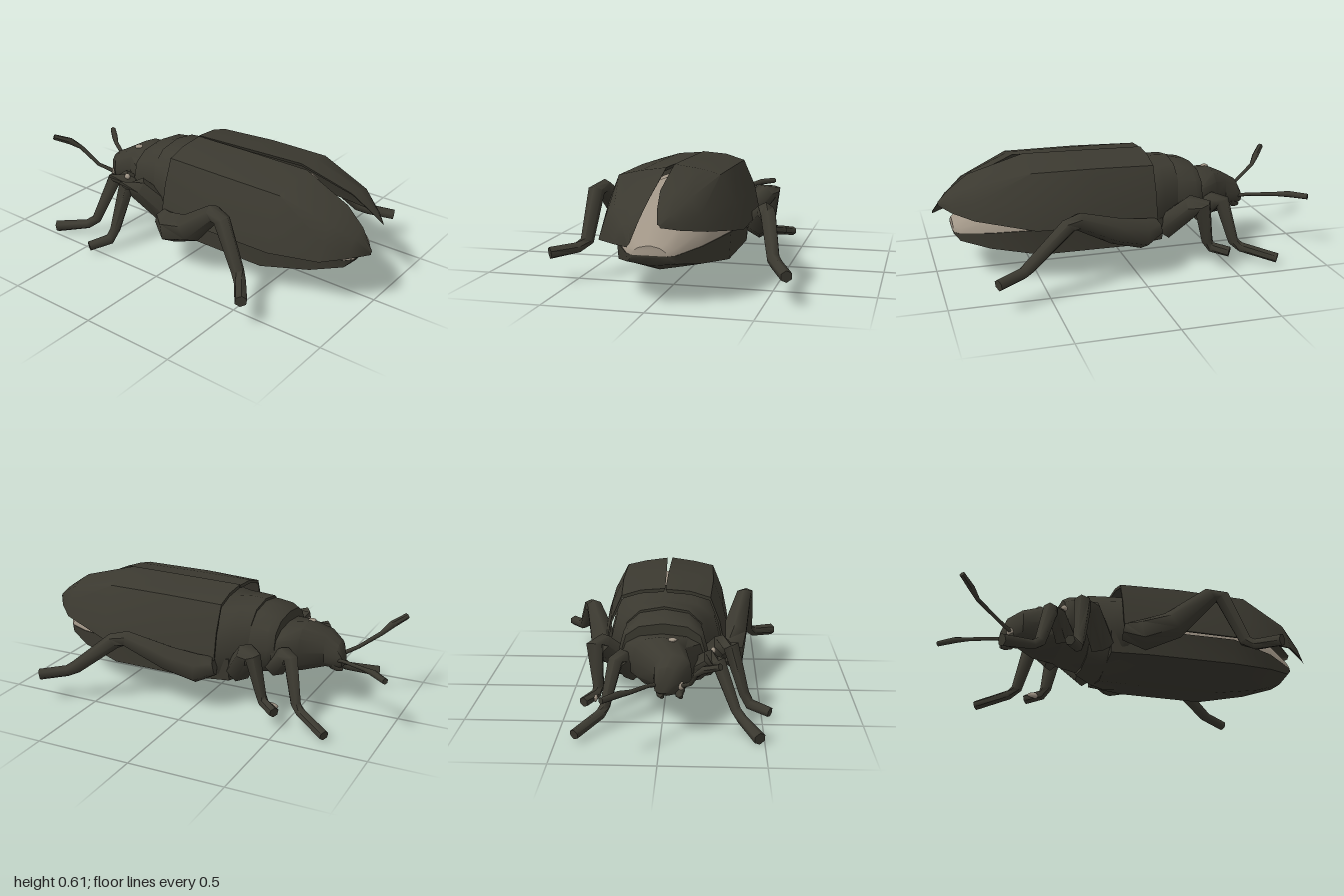
import * as THREE from 'three';
import { toCreasedNormals } from 'three/addons/utils/BufferGeometryUtils.js';

const V = (x, y, z) => new THREE.Vector3(x, y, z);

// Closed skin through equal-sized rings of points, capped with strips, faces outward
function loft(rings, crease = 0.75) {
  const n = rings[0].length, last = (rings.length - 1) * n, idx = [];
  const pts = rings.flat();
  for (let r = 0; r < rings.length - 1; r++) {
    for (let i = 0; i < n; i++) {
      const a = r * n + i, b = r * n + (i + 1) % n;
      idx.push(a, b, b + n, a, b + n, a + n);
    }
  }
  for (let i = 0; i < n / 2 - 1; i++) {
    const a = i, b = i + 1, c = n - 2 - i, d = n - 1 - i;
    idx.push(a, c, b, a, d, c);
    idx.push(last + a, last + b, last + c, last + a, last + c, last + d);
  }
  let volume = 0;
  for (let i = 0; i < idx.length; i += 3) {
    volume += pts[idx[i]].dot(pts[idx[i + 1]].clone().cross(pts[idx[i + 2]]));
  }
  if (volume < 0) idx.reverse();
  const g = new THREE.BufferGeometry().setFromPoints(pts);
  g.setIndex(idx);
  return toCreasedNormals(g, crease);
}

// Rounded body section across x
function section([x, zc, w, bottom, top], n = 12) {
  const ring = [], sq = v => Math.sign(v) * Math.abs(v) ** 0.8;
  for (let i = 0; i < n; i++) {
    const a = (i / n) * Math.PI * 2;
    ring.push(V(x, (bottom + top) / 2 + sq(Math.sin(a)) * (top - bottom) / 2, zc + sq(Math.cos(a)) * w));
  }
  return ring;
}

// Jointed limb: each joint is [x, y, z, radius]
function limb(joints, n = 6) {
  const p = joints.map(j => V(j[0], j[1], j[2]));
  return loft(p.map((c, k) => {
    const dir = p[Math.min(k + 1, p.length - 1)].clone().sub(p[Math.max(k - 1, 0)]).normalize();
    const u = V(0, 0, 1).cross(dir).normalize(), v = dir.clone().cross(u);
    return Array.from({ length: n }, (_, i) => {
      const a = (i / n) * Math.PI * 2;
      return c.clone().addScaledVector(u, Math.cos(a) * joints[k][3]).addScaledVector(v, Math.sin(a) * joints[k][3]);
    });
  }), 1.1);
}

// Wing case shell: stations are [x, [z, y] ...] from the inner seam to the outer rim
function wingCase(stations, side) {
  return loft(stations.map(([x, ...outer]) => {
    const cz = outer.reduce((s, p) => s + p[0], 0) / outer.length * 0.8;
    const cy = outer[outer.length - 1][1];
    const inner = outer.map(([z, y]) => [cz + (z - cz) * 0.94, cy + (y - cy) * 0.94]).reverse();
    return [...outer, ...inner].map(([z, y]) => V(x, y, z * side));
  }));
}

export function createModel() {
  const group = new THREE.Group();
  const shell = new THREE.MeshStandardMaterial({ color: 0x3b3930 });
  shell.name = 'darkShell';
  const tan = new THREE.MeshStandardMaterial({ color: 0xa09586 });
  tan.name = 'paleTan';
  const add = (name, geometry, material = shell) => {
    const mesh = new THREE.Mesh(geometry, material);
    mesh.name = name;
    group.add(mesh);
    return mesh;
  };

  // Abdomen: dark belly with a keel, pale back beneath the wing cases
  const abdomen = [ // x, half width, keel, lower side, rim, top
    [-0.16, 0.25, 0.09, 0.15, 0.27, 0.4],
    [0.04, 0.285, 0.09, 0.145, 0.28, 0.53],
    [0.5, 0.29, 0.097, 0.15, 0.285, 0.54],
    [0.74, 0.21, 0.14, 0.18, 0.264, 0.42],
    [0.88, 0.12, 0.19, 0.205, 0.245, 0.31],
    [0.91, 0.085, 0.235, 0.237, 0.245, 0.29],
  ];
  add('belly', loft(abdomen.map(([x, w, k, l, r]) => [
    V(x, r, w), V(x, l, w * 0.97), V(x, (k + l) / 2, w * 0.5), V(x, k, 0),
    V(x, (k + l) / 2, -w * 0.5), V(x, l, -w * 0.97), V(x, r, -w), V(x, r, 0),
  ])));
  add('abdomenBack', loft(abdomen.slice(1).map(([x, w, , , r, t]) => {
    const h = t - r, half = [[0.98, -0.02], [0.92, 0.4], [0.6, 0.8], [0.12, 1]];
    const left = half.map(([a, b]) => V(x, r + h * b, w * a));
    return [...left, ...left.map(p => V(p.x, p.y, -p.z)).reverse()];
  })), tan);

  // Wing cases, the right one lifted a little at the tail
  add('leftWingCase', wingCase([
    [-0.11, [0.0, 0.592], [0.13, 0.582], [0.235, 0.55], [0.285, 0.42], [0.315, 0.275]],
    [0.2, [0.001, 0.597], [0.14, 0.583], [0.25, 0.558], [0.305, 0.42], [0.337, 0.275]],
    [0.58, [0.01, 0.602], [0.14, 0.583], [0.25, 0.558], [0.305, 0.42], [0.335, 0.278]],
    [0.83, [0.022, 0.49], [0.11, 0.48], [0.19, 0.455], [0.24, 0.38], [0.27, 0.288]],
    [0.93, [0.04, 0.41], [0.08, 0.405], [0.12, 0.385], [0.15, 0.35], [0.165, 0.295]],
    [1.0, [0.065, 0.315], [0.068, 0.314], [0.072, 0.31], [0.075, 0.305], [0.077, 0.3]],
  ], 1));
  add('rightWingCase', wingCase([
    [-0.11, [0.002, 0.596], [0.13, 0.586], [0.23, 0.555], [0.29, 0.42], [0.318, 0.28]],
    [0.2, [0.008, 0.604], [0.14, 0.59], [0.245, 0.568], [0.31, 0.43], [0.345, 0.295]],
    [0.53, [0.016, 0.612], [0.14, 0.595], [0.245, 0.57], [0.318, 0.43], [0.357, 0.305]],
    [0.82, [0.028, 0.53], [0.1, 0.525], [0.17, 0.5], [0.22, 0.43], [0.25, 0.35]],
    [0.92, [0.042, 0.46], [0.08, 0.455], [0.11, 0.44], [0.14, 0.41], [0.155, 0.37]],
    [0.98, [0.06, 0.405], [0.064, 0.404], [0.068, 0.402], [0.072, 0.398], [0.074, 0.39]],
  ], -1));

  // Thorax and head: x, centre z, half width, bottom, top
  add('rearThorax', loft([
    [-0.26, 0, 0.215, 0.14, 0.54], [-0.18, 0, 0.24, 0.1, 0.543], [-0.1, 0, 0.29, 0.09, 0.535], [0.06, 0, 0.295, 0.11, 0.57],
  ].map(s => section(s))));
  add('frontThorax', loft([
    [-0.395, 0, 0.21, 0.2, 0.49], [-0.36, 0, 0.225, 0.18, 0.51], [-0.29, 0, 0.215, 0.16, 0.525], [-0.2, 0, 0.22, 0.14, 0.53],
  ].map(s => section(s))));
  add('head', loft([
    [-0.695, 0.01, 0.04, 0.235, 0.3], [-0.67, 0.03, 0.065, 0.215, 0.36], [-0.6, 0.055, 0.095, 0.21, 0.4],
    [-0.5, -0.01, 0.14, 0.2, 0.455], [-0.38, 0, 0.22, 0.2, 0.435],
  ].map(s => section(s))));

  // Flat pale patches on the head, front knee and right middle foot: centre, size
  const patches = [
    [[-0.5, 0.441, 0.05], [0.022, 0.01, 0.024]],
    [[-0.655, 0.262, 0.095], [0.022, 0.024, 0.02]],
    [[-0.41, 0.36, 0.25], [0.018, 0.016, 0.014]],
    [[-0.44, 0.108, -0.338], [0.04, 0.016, 0.01]],
  ];
  for (const [centre, size] of patches) {
    const patch = add('palePatch', new THREE.SphereGeometry(1, 8, 6), tan);
    patch.position.set(...centre);
    patch.scale.set(...size);
  }

  // Mouthparts
  for (const z of [0, 0.09]) {
    add('mandible', limb([[-0.64, 0.24, z, 0.03], [-0.67, 0.222, z, 0.02], [-0.69, 0.215, z + 0.01, 0.01]]));
  }

  // Legs, each posed on its own from hip to knee, ankle and foot
  const legs = {
    leftRearLeg: [[-0.11, 0.24, 0.31, 0.05], [-0.02, 0.22, 0.34, 0.085], [0.13, 0.28, 0.37, 0.075],
      [0.32, 0.45, 0.425, 0.045], [0.38, 0.44, 0.44, 0.043], [0.49, 0.2, 0.455, 0.034], [0.53, 0.172, 0.49, 0.03], [0.62, 0.157, 0.605, 0.032]],
    rightRearLeg: [[-0.11, 0.25, -0.31, 0.05], [-0.02, 0.23, -0.335, 0.08], [0.13, 0.27, -0.365, 0.07],
      [0.34, 0.365, -0.43, 0.045], [0.4, 0.35, -0.455, 0.042], [0.6, 0.19, -0.515, 0.034], [0.64, 0.17, -0.54, 0.03], [0.77, 0.15, -0.605, 0.03]],
    leftMiddleLeg: [[-0.19, 0.2, 0.19, 0.07], [-0.29, 0.35, 0.3, 0.06], [-0.335, 0.36, 0.34, 0.046],
      [-0.365, 0.12, 0.41, 0.03], [-0.38, 0.065, 0.44, 0.028], [-0.44, 0.045, 0.54, 0.026]],
    rightMiddleLeg: [[-0.19, 0.2, -0.19, 0.07], [-0.3, 0.35, -0.32, 0.06], [-0.34, 0.36, -0.35, 0.046],
      [-0.38, 0.15, -0.33, 0.03], [-0.4, 0.115, -0.34, 0.027], [-0.48, 0.1, -0.395, 0.027]],
    leftFrontLeg: [[-0.38, 0.24, 0.15, 0.06], [-0.45, 0.33, 0.24, 0.05], [-0.485, 0.33, 0.275, 0.04],
      [-0.55, 0.1, 0.365, 0.028], [-0.59, 0.068, 0.395, 0.026], [-0.75, 0.035, 0.475, 0.032]],
    rightFrontLeg: [[-0.38, 0.24, -0.15, 0.06], [-0.46, 0.33, -0.21, 0.05], [-0.495, 0.33, -0.23, 0.04],
      [-0.55, 0.11, -0.28, 0.028], [-0.585, 0.08, -0.3, 0.026], [-0.75, 0.04, -0.41, 0.026]],
  };
  for (const [name, joints] of Object.entries(legs)) add(name, limb(joints));

  // Antennae, thickening toward the tips
  add('leftAntenna', limb([[-0.65, 0.26, 0.1, 0.012], [-0.73, 0.3, 0.145, 0.01], [-0.84, 0.385, 0.17, 0.012], [-0.88, 0.425, 0.21, 0.019], [-0.94, 0.46, 0.28, 0.016]]));
  add('rightAntenna', limb([[-0.66, 0.27, -0.01, 0.012], [-0.72, 0.285, -0.05, 0.01], [-0.85, 0.3, -0.13, 0.012], [-0.91, 0.31, -0.18, 0.018], [-0.99, 0.31, -0.25, 0.016]]));

  return group;
}
